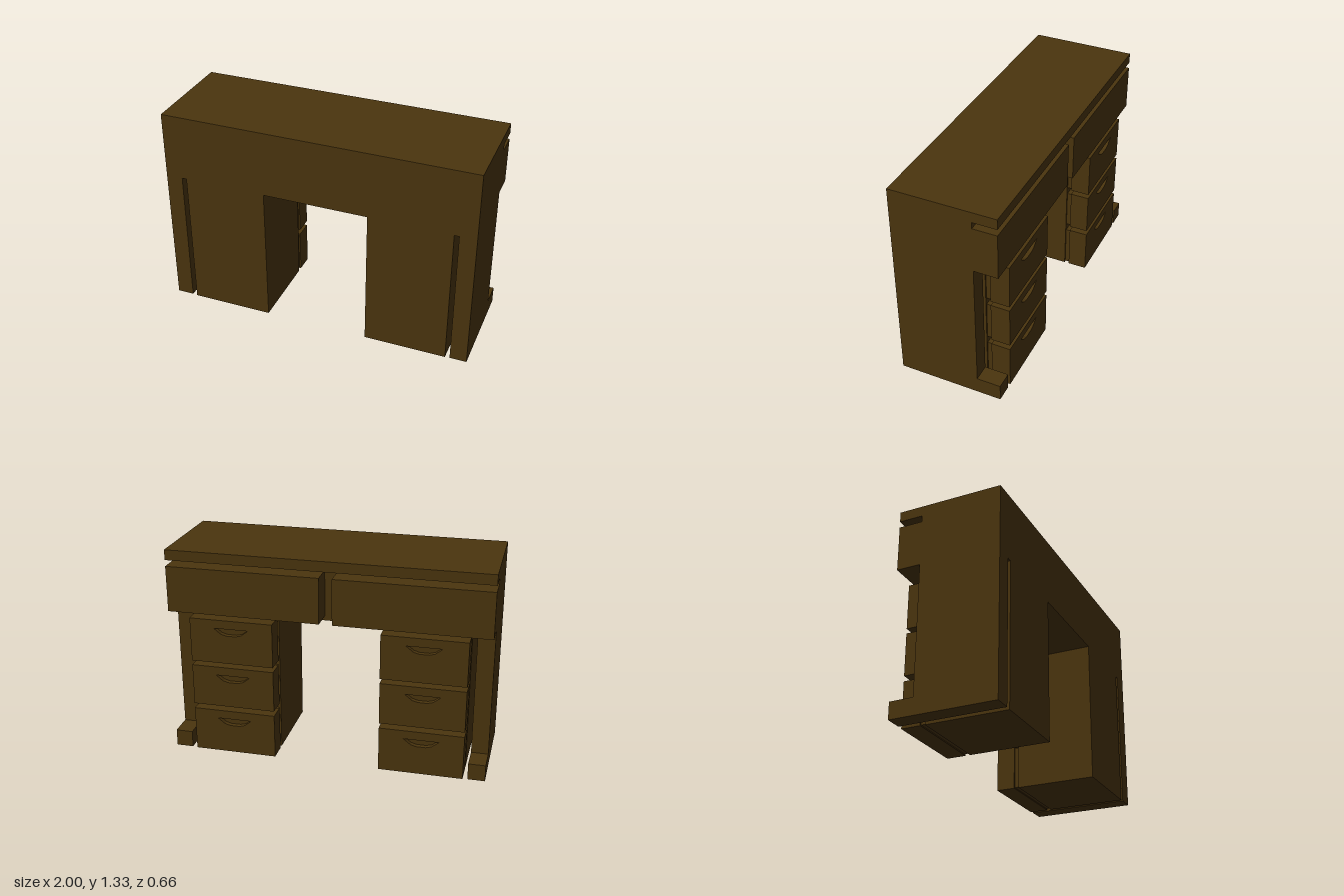
import * as THREE from 'three';

const wood = new THREE.MeshStandardMaterial({ color: 0x4b350e });
wood.name = 'dark wood';

const BACK = -0.33, BODY_BACK = -0.18, FRONT = 0.33;

// Box given by its extents
function block(name, x0, x1, y0, y1, z0, z1) {
  const mesh = new THREE.Mesh(new THREE.BoxGeometry(x1 - x0, y1 - y0, z1 - z0), wood);
  mesh.position.set((x0 + x1) / 2, (y0 + y1) / 2, (z0 + z1) / 2);
  mesh.name = name;
  return mesh;
}

// Solid carcass: kneehole in the middle, a narrow slot beside each outer panel
function makeCarcass() {
  const half = [[0.335, 0.905], [0.335, 0], [0.863, 0], [0.863, 0.905],
    [0.893, 0.905], [0.893, 0.003], [1, 0.003], [1, 1.33]];
  const mirrored = half.map(([x, y]) => [-x, y]).reverse();
  const shape = new THREE.Shape([...half, ...mirrored].map(([x, y]) => new THREE.Vector2(x, y)));
  const geo = new THREE.ExtrudeGeometry(shape, { depth: FRONT - BODY_BACK, bevelEnabled: false });
  geo.translate(0, 0, BODY_BACK);
  const mesh = new THREE.Mesh(geo, wood);
  mesh.name = 'carcass';
  return mesh;
}

// Pedestal drawer with a scooped finger pull cut into its face
function makeDrawer(cx, y0, y1) {
  const group = new THREE.Group();
  group.name = 'pedestalDrawer';
  const w = 0.264, recess = 0.03, top = y1 - 0.055;
  const face = new THREE.Shape([[-w, y0], [w, y0], [w, y1], [-w, y1]]
    .map(([x, y]) => new THREE.Vector2(x, y)));
  const pull = [[-0.11, 0], [0.11, 0], [0.065, -0.035], [0.03, -0.045], [-0.03, -0.045], [-0.065, -0.035]];
  face.holes.push(new THREE.Path(pull.map(([x, y]) => new THREE.Vector2(x, top + y))));
  const geo = new THREE.ExtrudeGeometry(face, { depth: recess, bevelEnabled: false });
  geo.translate(cx, 0, BACK);
  const front = new THREE.Mesh(geo, wood);
  front.name = 'drawerFace';
  group.add(
    front,
    block('drawerBox', cx - w, cx + w, y0, y1, BACK + recess, -0.21),
    block('drawerNeck', cx - w + 0.01, cx + w - 0.01, y0 + 0.007, y1 - 0.01, -0.21, BODY_BACK),
  );
  return group;
}

export function createModel() {
  const desk = new THREE.Group();
  desk.name = 'desk';
  desk.add(makeCarcass());
  desk.add(block('topOverhang', -1, 1, 1.265, 1.33, BACK, BODY_BACK));

  for (const s of [-1, 1]) {
    const span = (a, b) => (s > 0 ? [a, b] : [-b, -a]);
    desk.add(block('wideDrawer', ...span(0.04, 1), 0.935, 1.225, BACK, BODY_BACK));
    desk.add(block('foot', ...span(0.893, 1), 0.003, 0.11, BACK, BODY_BACK));
    for (const [y0, y1] of [[0, 0.287], [0.32, 0.588], [0.618, 0.903]]) {
      desk.add(makeDrawer(s * 0.599, y0, y1));
    }
  }
  return desk;
}
